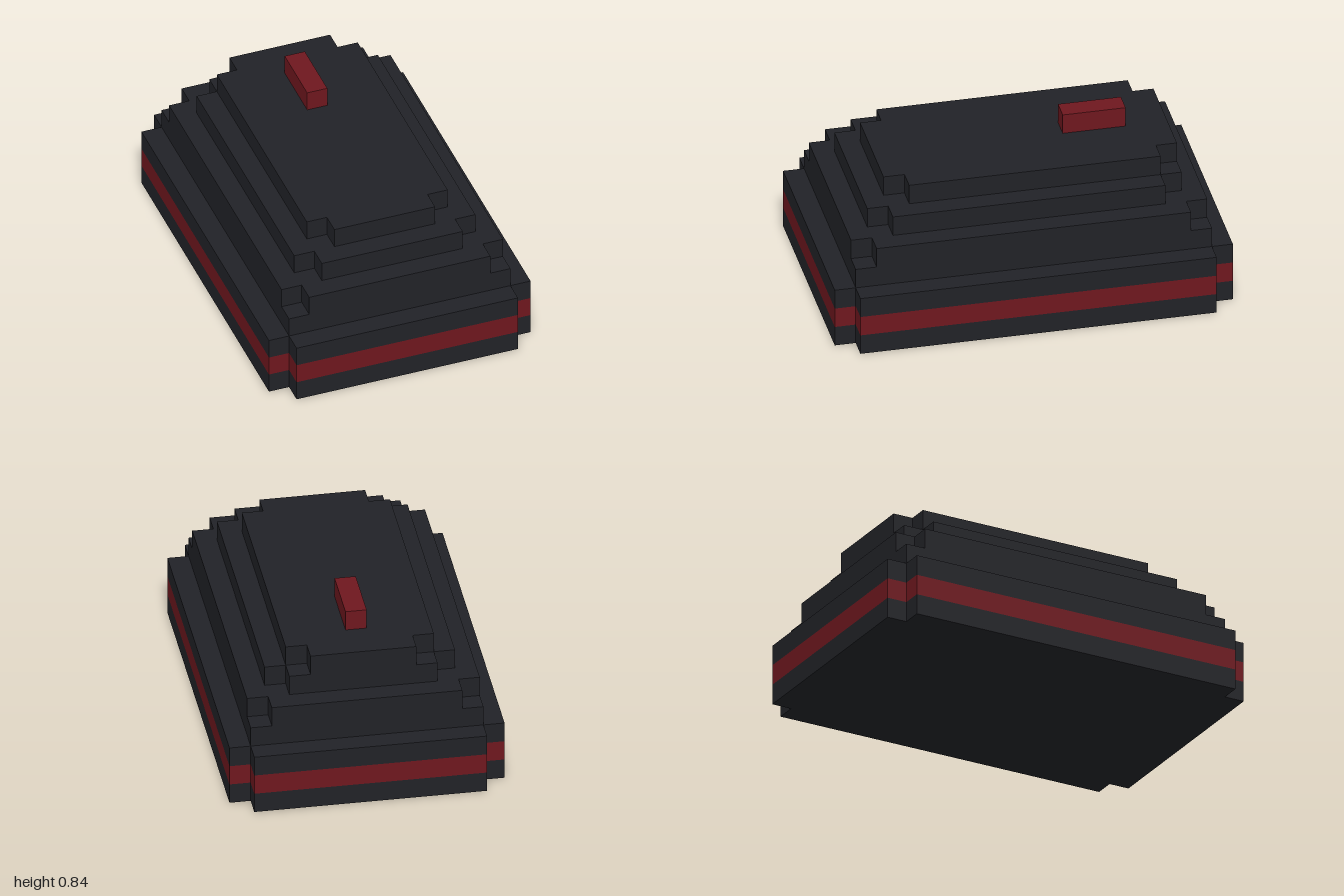
import * as THREE from 'three';

const U = 2 / 19; // one block of the grid

const dark = new THREE.MeshStandardMaterial({ color: 0x212227, flatShading: true });
const red = new THREE.MeshStandardMaterial({ color: 0x6e171e, flatShading: true });

// Rectangle w x d (in blocks) with a one-block notch at each corner, raised from y0 by h
function notchedSlab(w, d, y0, h, z = 0) {
  const a = w / 2, b = d / 2;
  const outline = [
    [a, -b + 1], [a, b - 1], [a - 1, b - 1], [a - 1, b],
    [-a + 1, b], [-a + 1, b - 1], [-a, b - 1], [-a, -b + 1],
    [-a + 1, -b + 1], [-a + 1, -b], [a - 1, -b], [a - 1, -b + 1],
  ].map(([x, y]) => new THREE.Vector2(x * U, y * U));
  const geo = new THREE.ExtrudeGeometry(new THREE.Shape(outline), { depth: h * U, bevelEnabled: false });
  return geo.rotateX(-Math.PI / 2).translate(0, y0 * U, z * U);
}

function block(w, d, y0, h, z = 0) {
  return new THREE.BoxGeometry(w * U, h * U, d * U).translate(0, (y0 + h / 2) * U, z * U);
}

export function createModel() {
  const group = new THREE.Group();
  const add = (name, geo, mat) => {
    const mesh = new THREE.Mesh(geo, mat);
    mesh.name = name;
    group.add(mesh);
  };

  // Base with a coloured band all round
  add('baseBottom', notchedSlab(13, 19, 0, 1), dark);
  add('baseBand', notchedSlab(13, 19, 1, 1), red);
  add('baseTop', notchedSlab(13, 19, 2, 1), dark);

  // Stepped tiers; the first is square-cornered below and notched above
  add('lowerTier', block(11, 17, 3, 1), dark);
  add('lowerTierRim', notchedSlab(11, 17, 4, 1), dark);
  add('middleTier', notchedSlab(9, 15, 5, 1), dark);
  add('topTier', notchedSlab(7, 14, 6, 1, -0.5), dark);

  // Small ridge towards the back of the top
  add('ridge', block(1, 3, 7, 1, -4), red);

  return group;
}
